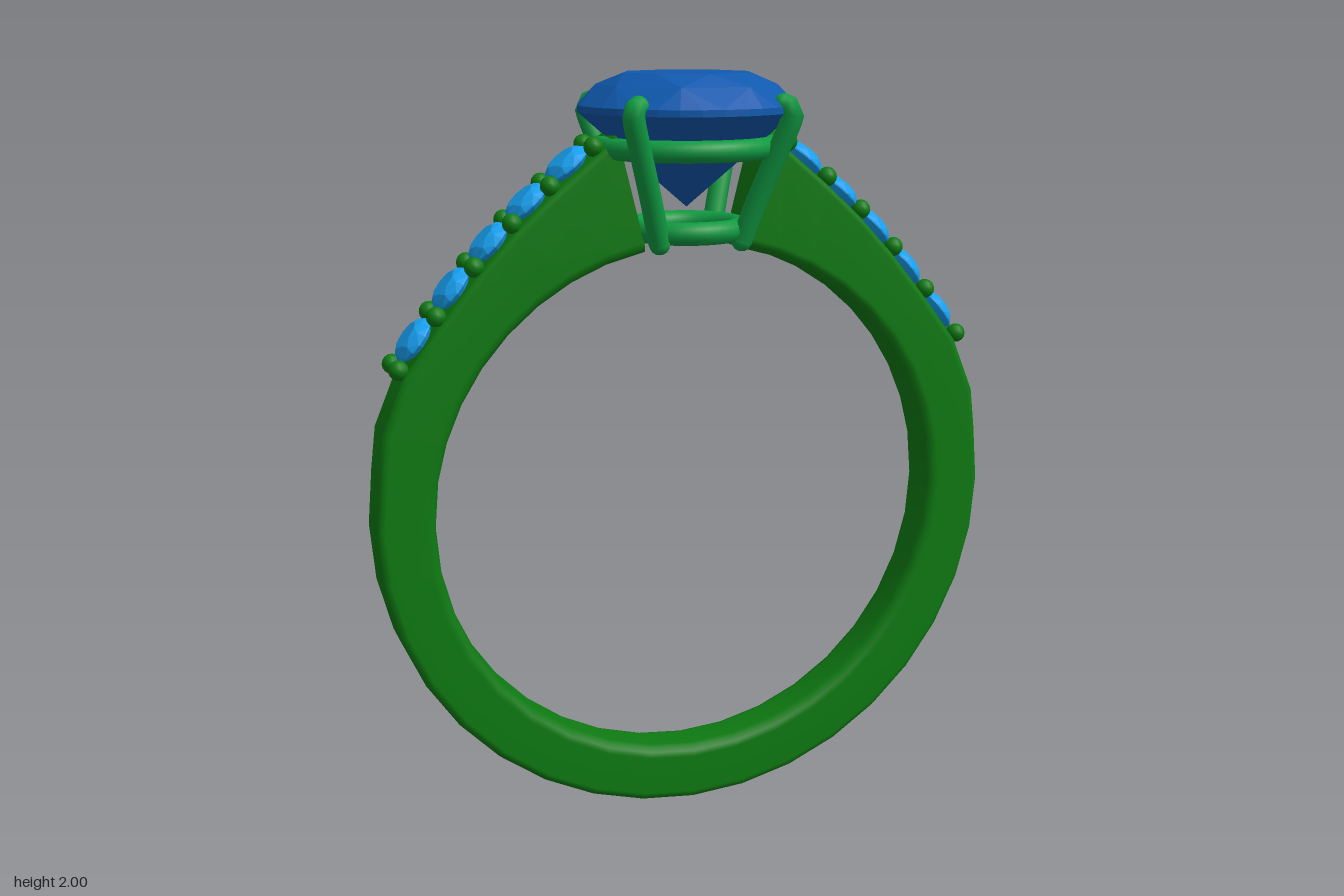
import * as THREE from 'three';
import { ConvexGeometry } from 'three/addons/geometries/ConvexGeometry.js';

const mat = (color, flatShading = false) => new THREE.MeshStandardMaterial({ color, flatShading });
const bandMat = mat(0x0e7a12), headMat = mat(0x109a42);
const stoneMat = mat(0x1059ae, true), paveMat = mat(0x18a0f0, true);

const CY = 0.86, INNER = 0.7, OUTER = 0.857;

// Bead positions along one shoulder, bottom to top
const beads = [[0.78, 1.28], [0.68, 1.41], [0.58, 1.53], [0.48, 1.635], [0.38, 1.725], [0.265, 1.82]];

function mesh(name, geometry, material) {
  const m = new THREE.Mesh(geometry, material);
  m.name = name;
  return m;
}

// Faceted round stone: girdle at y = 0, table above, point below
function stoneGeometry(r, crown, depth, sides) {
  const pts = [new THREE.Vector3(0, -depth, 0)];
  const ring = (radius, y, n, shift = 0) => {
    for (let i = 0; i < n; i++) {
      const a = ((i + shift) / n) * Math.PI * 2;
      pts.push(new THREE.Vector3(Math.cos(a) * radius, y, Math.sin(a) * radius));
    }
  };
  ring(r * 0.6, crown, 8);
  ring(r * 0.83, crown * 0.66, 8, 0.5);
  ring(r, r * 0.03, sides);
  ring(r, -r * 0.03, sides);
  return new ConvexGeometry(pts);
}

// Rounded cross-section as [offset from inner face, z], counter-clockwise
function section(len, w) {
  const loop = [];
  const corner = (o, z, r, start) => {
    for (let i = 0; i <= 3; i++) {
      const a = start + (i / 3) * Math.PI / 2;
      loop.push([o + Math.cos(a) * r, z + Math.sin(a) * r]);
    }
  };
  const ri = 0.03, ro = 0.022;
  corner(len - ro, w - ro, ro, 0);
  corner(ri, w - ri, ri, Math.PI / 2);
  corner(ri, -w + ri, ri, Math.PI);
  corner(len - ro, -w + ro, ro, Math.PI * 1.5);
  return loop;
}

// Band: sections swept around the finger hole, open under the setting
function bandGeometry() {
  const side = [];
  const add = (phi, x, y) => side.push({ ix: INNER * Math.sin(phi), iy: CY - INNER * Math.cos(phi), x, y });
  const rad = Math.PI / 180;
  for (let i = 0; i <= 10; i++) {
    const phi = i * 10 * rad;
    add(phi, OUTER * Math.sin(phi), CY - OUTER * Math.cos(phi));
  }
  const shoulder = [[0.83, 1.12], ...beads.map(([x, y]) => [x - 0.012, y - 0.012]), [0.21, 1.85]];
  shoulder.forEach(([x, y], i) => add((100 + (i + 1) * 69 / 8) * rad, x, y));

  const mirrored = side.slice(1).reverse().map(s => ({ ...s, ix: -s.ix, x: -s.x }));
  const stations = [...mirrored, ...side];
  const pos = [], idx = [];
  let n = 0;
  const loops = stations.map(s => {
    const dx = s.x - s.ix, dy = s.y - s.iy, len = Math.hypot(dx, dy);
    const w = 0.069 + 0.006 * s.y / 1.85;
    const loop = section(len, w).map(([o, z]) => [s.ix + dx / len * o, s.iy + dy / len * o, z]);
    n = loop.length;
    loop.forEach(p => pos.push(...p));
    return loop;
  });
  for (let k = 0; k < loops.length - 1; k++) {
    for (let j = 0; j < n; j++) {
      const a = k * n + j, b = k * n + (j + 1) % n;
      idx.push(a, a + n, b, b, a + n, b + n);
    }
  }
  // End caps
  [loops[0], loops[loops.length - 1]].forEach((loop, end) => {
    const base = pos.length / 3;
    loop.forEach(p => pos.push(...p));
    for (let j = 1; j < n - 1; j++) {
      if (end) idx.push(base, base + j + 1, base + j);
      else idx.push(base, base + j, base + j + 1);
    }
  });
  const g = new THREE.BufferGeometry();
  g.setAttribute('position', new THREE.Float32BufferAttribute(pos, 3));
  g.setIndex(idx);
  g.computeVertexNormals();
  return g;
}

// Small stones and holding beads on both shoulders
function shoulders() {
  const group = new THREE.Group();
  group.name = 'shoulderStones';
  const beadGeo = new THREE.SphereGeometry(0.026, 12, 8);
  const smallGeo = stoneGeometry(0.068, 0.026, 0.05, 16);
  for (const s of [1, -1]) {
    beads.forEach(([x, y], i) => {
      for (const z of [-0.046, 0.046]) {
        const bead = mesh('bead', beadGeo, bandMat);
        bead.position.set(s * x, y, z);
        group.add(bead);
      }
      if (i === beads.length - 1) return;
      const [x2, y2] = beads[i + 1];
      const stone = mesh('smallStone', smallGeo, paveMat);
      stone.position.set(s * (x + x2) / 2, (y + y2) / 2, 0);
      stone.rotation.z = -s * Math.atan2(y2 - y, x - x2);
      group.add(stone);
    });
  }
  return group;
}

// Setting: two rings and four prongs hooked over the main stone
function setting() {
  const group = new THREE.Group();
  group.name = 'setting';
  for (const [name, r, tube, y] of [['upperRing', 0.22, 0.028, 1.813], ['lowerRing', 0.137, 0.03, 1.6]]) {
    const ring = mesh(name, new THREE.TorusGeometry(r, tube, 12, 40), headMat);
    ring.rotation.x = Math.PI / 2;
    ring.position.y = y;
    group.add(ring);
  }
  const path = [[0.112, 1.575], [0.145, 1.69], [0.18, 1.8], [0.208, 1.89], [0.21, 1.912], [0.192, 1.924]];
  for (const sx of [1, -1]) for (const sz of [1, -1]) {
    const pts = path.map(([d, y]) => new THREE.Vector3(sx * d, y, sz * d));
    const prong = new THREE.Group();
    prong.name = 'prong';
    prong.add(mesh('prongWire', new THREE.TubeGeometry(new THREE.CatmullRomCurve3(pts), 20, 0.028, 10), headMat));
    for (const p of [pts[0], pts[pts.length - 1]]) {
      const tip = mesh('prongTip', new THREE.SphereGeometry(0.028, 10, 8), headMat);
      tip.position.copy(p);
      prong.add(tip);
    }
    group.add(prong);
  }
  return group;
}

export function createModel() {
  const model = new THREE.Group();
  model.name = 'ring';
  model.add(mesh('band', bandGeometry(), bandMat), shoulders(), setting());
  const stone = mesh('mainStone', stoneGeometry(0.283, 0.09, 0.255, 32), stoneMat);
  stone.position.y = 1.91;
  model.add(stone);
  return model;
}
